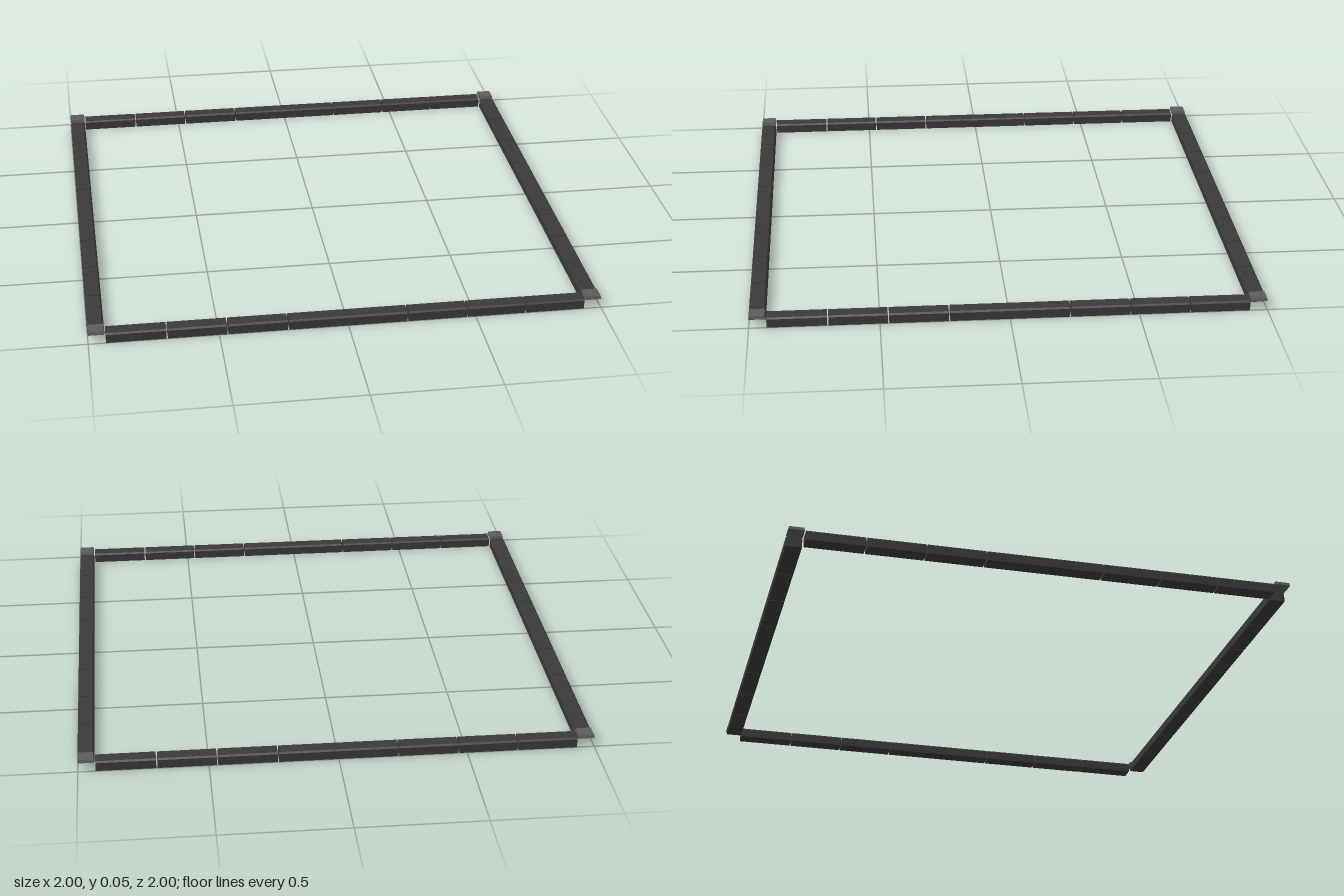
import * as THREE from 'three';

const HALF = 1;         // half the side of the square frame
const WIDTH = 0.064;    // rail width
const HEIGHT = 0.04;    // rail height
const GAP = 0.005;      // joint between segments
const CHAMFER = 0.006;

// Segment with chamfered top edges, running along x and standing on y = 0
function railGeometry(length) {
  const w = WIDTH / 2;
  const profile = new THREE.Shape();
  profile.moveTo(-w, 0);
  profile.lineTo(w, 0);
  profile.lineTo(w, HEIGHT - CHAMFER);
  profile.lineTo(w - CHAMFER, HEIGHT);
  profile.lineTo(-w + CHAMFER, HEIGHT);
  profile.lineTo(-w, HEIGHT - CHAMFER);
  profile.closePath();
  const geometry = new THREE.ExtrudeGeometry(profile, { depth: length, bevelEnabled: false });
  geometry.translate(0, 0, -length / 2);
  geometry.rotateY(Math.PI / 2);
  return geometry;
}

// Thin square cap whose top edge is slightly chamfered
function capGeometry() {
  const bottom = 0.037, top = 0.05, inset = 0.003;
  const geometry = new THREE.BoxGeometry(WIDTH, top - bottom, WIDTH);
  const p = geometry.attributes.position;
  for (let i = 0; i < p.count; i++) {
    if (p.getY(i) > 0) {
      p.setX(i, p.getX(i) - Math.sign(p.getX(i)) * inset);
      p.setZ(i, p.getZ(i) - Math.sign(p.getZ(i)) * inset);
    }
  }
  geometry.translate(0, (top + bottom) / 2, 0);
  geometry.computeVertexNormals();
  return geometry;
}

export function createModel() {
  const railMaterial = new THREE.MeshStandardMaterial({ color: 0x3a3a3a });
  railMaterial.name = 'dark grey rail';
  const capMaterial = new THREE.MeshStandardMaterial({ color: 0x5c5c5c });
  capMaterial.name = 'mid grey cap';

  const frame = new THREE.Group();
  frame.name = 'squareFrame';

  // Three short segments, one long, three short along each side
  const joints = [-0.932, -0.699, -0.467, -0.233, 0.233, 0.467, 0.699, 0.932];
  const centre = HALF - WIDTH / 2;
  const cap = capGeometry();

  for (let side = 0; side < 4; side++) {
    const group = new THREE.Group();
    group.name = ['frontSide', 'leftSide', 'backSide', 'rightSide'][side];
    group.rotation.y = side * Math.PI / 2;

    for (let i = 0; i < joints.length - 1; i++) {
      const a = joints[i] + (i === 0 ? 0 : GAP / 2);
      const b = joints[i + 1] - (i === joints.length - 2 ? 0 : GAP / 2);
      const segment = new THREE.Mesh(railGeometry(b - a), railMaterial);
      segment.name = 'railSegment';
      segment.position.set((a + b) / 2, 0, centre);
      group.add(segment);
    }

    // Raised cap at one corner of each side
    const corner = new THREE.Mesh(cap, capMaterial);
    corner.name = 'cornerCap';
    corner.position.set(centre, 0, centre);
    group.add(corner);
    frame.add(group);
  }
  return frame;
}
